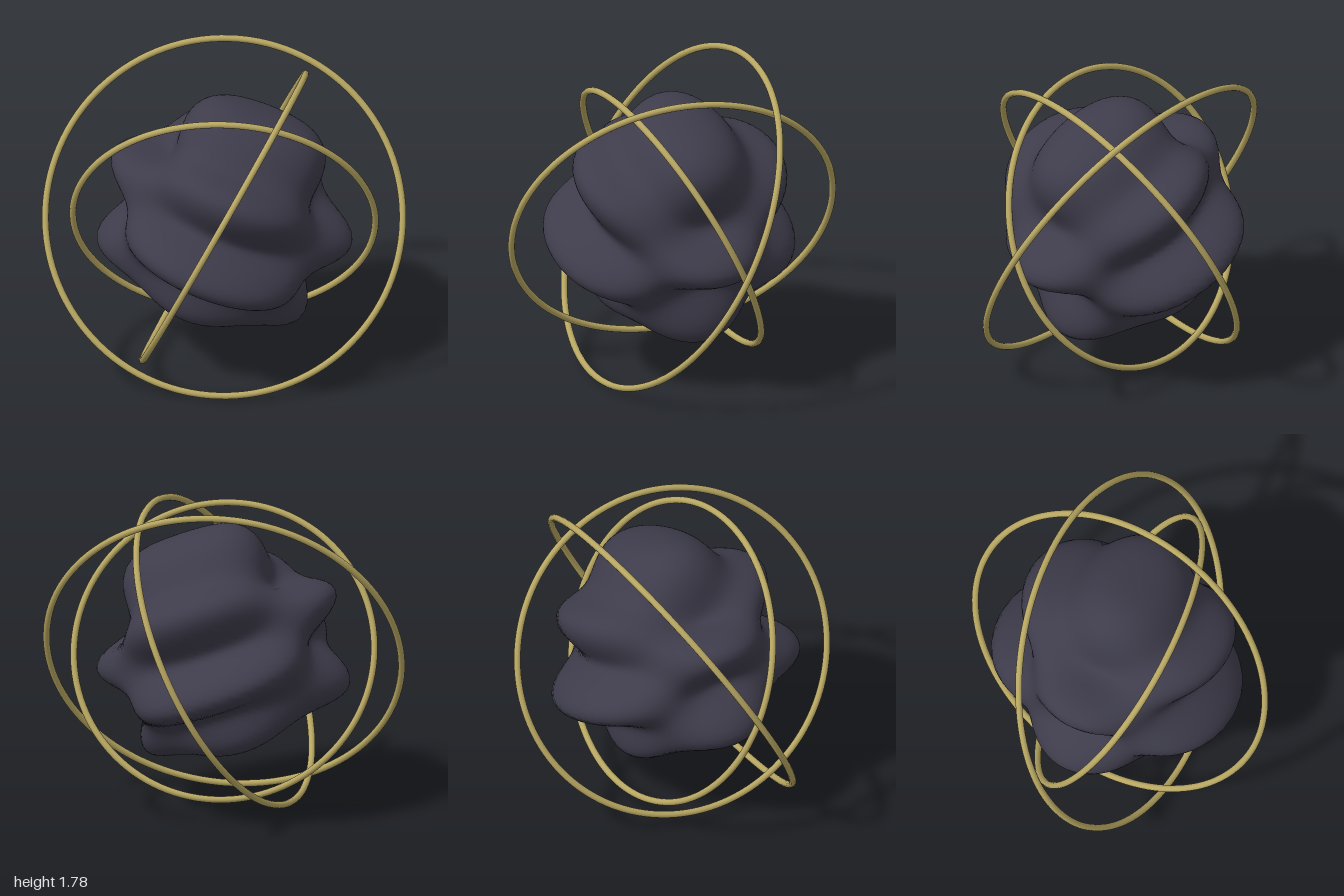
import * as THREE from 'three';
import { mergeVertices } from 'three/addons/utils/BufferGeometryUtils.js';

const CENTER_Y = 0.895;

// Sphere whose radius ripples in tilted bands that flip towards front and back
function rippledSphere(radius, amplitude) {
  let geo = new THREE.SphereGeometry(1, 96, 72);
  geo.deleteAttribute('uv');
  geo.deleteAttribute('normal');
  geo = mergeVertices(geo, 1e-4);
  const pos = geo.attributes.position;
  const v = new THREE.Vector3();
  for (let i = 0; i < pos.count; i++) {
    v.fromBufferAttribute(pos, i).normalize();
    const wave = Math.sin(3 * v.x + 8 * v.y) * Math.cos(3 * v.z);
    v.multiplyScalar(radius + amplitude * wave);
    pos.setXYZ(i, v.x, v.y, v.z);
  }
  geo.computeVertexNormals();
  return geo;
}

export function createModel() {
  const group = new THREE.Group();
  const stone = new THREE.MeshStandardMaterial({ color: 0x3e3c4b });
  stone.name = 'darkSlate';
  const gold = new THREE.MeshStandardMaterial({ color: 0xb8a762 });
  gold.name = 'paleGold';

  // Rippled core
  const core = new THREE.Mesh(rippledSphere(0.604, 0.113), stone);
  core.name = 'core';
  core.position.y = CENTER_Y;
  group.add(core);

  // Three tilted orbit rings: name, radius, axis
  const rings = [
    ['outerRing', 0.981, [0.047, 0.462, 0.886]],
    ['middleRing', 0.906, [0.885, -0.45, 0.12]],
    ['innerRing', 0.83, [0.053, -0.432, 0.9]],
  ];
  const forward = new THREE.Vector3(0, 0, 1);
  for (const [name, radius, axis] of rings) {
    const ring = new THREE.Mesh(new THREE.TorusGeometry(radius, 0.0188, 10, 120), gold);
    ring.name = name;
    ring.quaternion.setFromUnitVectors(forward, new THREE.Vector3(...axis).normalize());
    ring.position.y = CENTER_Y;
    group.add(ring);
  }
  return group;
}
